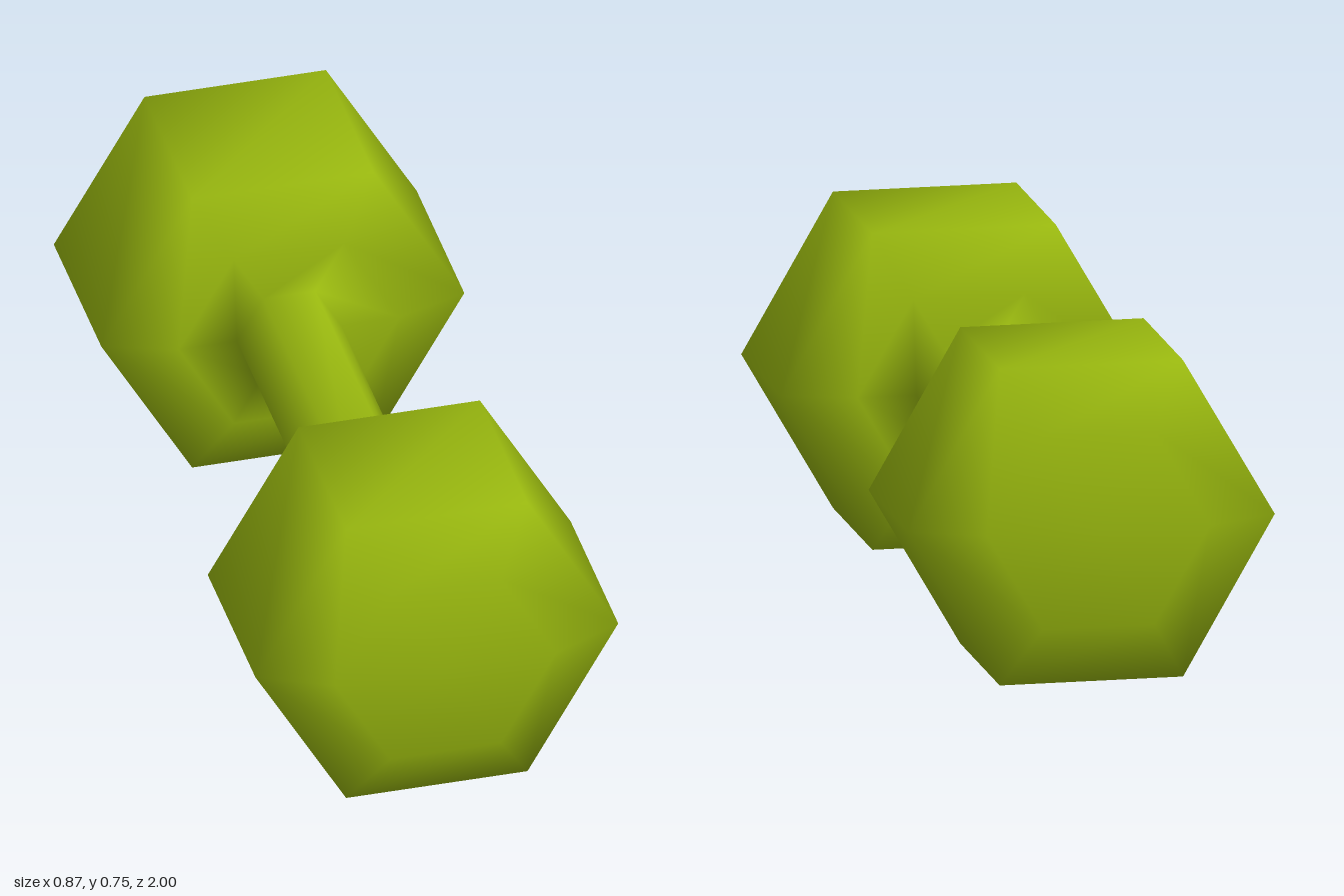
import * as THREE from 'three';

const SIDES = 6;
const CENTRE_Y = 0.378;

// [radius, z] of each hexagonal ring, from the front end to the middle
const HALF = [[0, 1], [0.265, 1], [0.435, 0.92], [0.435, 0.485], [0.265, 0.428], [0.125, 0.428]];
const RINGS = [...HALF, ...HALF.map(([r, z]) => [r, -z]).reverse()];

// Triangles joining rings first..last
function bandIndices(first, last) {
  const index = [];
  for (let i = first; i < last; i++) {
    for (let k = 0; k < SIDES; k++) {
      const n = (k + 1) % SIDES;
      const a = i * SIDES + k, d = i * SIDES + n;
      const b = a + SIDES, c = d + SIDES;
      if (RINGS[i][0] > 0) index.push(a, b, d);
      if (RINGS[i + 1][0] > 0) index.push(b, c, d);
    }
  }
  return index;
}

export function createModel() {
  const green = new THREE.MeshStandardMaterial({ color: 0x99b80f });
  green.name = 'olive green';

  const points = [];
  for (const [r, z] of RINGS) {
    for (let k = 0; k < SIDES; k++) {
      const t = (k / SIDES) * Math.PI * 2;
      points.push(r * Math.cos(t), r * Math.sin(t), z);
    }
  }

  // One smooth skin, so the shading flows from the heads into the handle
  const skin = new THREE.BufferGeometry();
  skin.setAttribute('position', new THREE.Float32BufferAttribute(points, 3));
  skin.setIndex(bandIndices(0, RINGS.length - 1));
  skin.computeVertexNormals();

  const group = new THREE.Group();
  group.name = 'dumbbell';

  // Each part takes its own run of rings and shares the skin's normals
  const parts = { frontHead: [0, 5], handle: [5, 6], backHead: [6, 11] };
  for (const [name, [first, last]] of Object.entries(parts)) {
    const geometry = skin.clone();
    geometry.setIndex(bandIndices(first, last));
    const mesh = new THREE.Mesh(geometry, green);
    mesh.name = name;
    mesh.position.y = CENTRE_Y;
    group.add(mesh);
  }
  return group;
}
